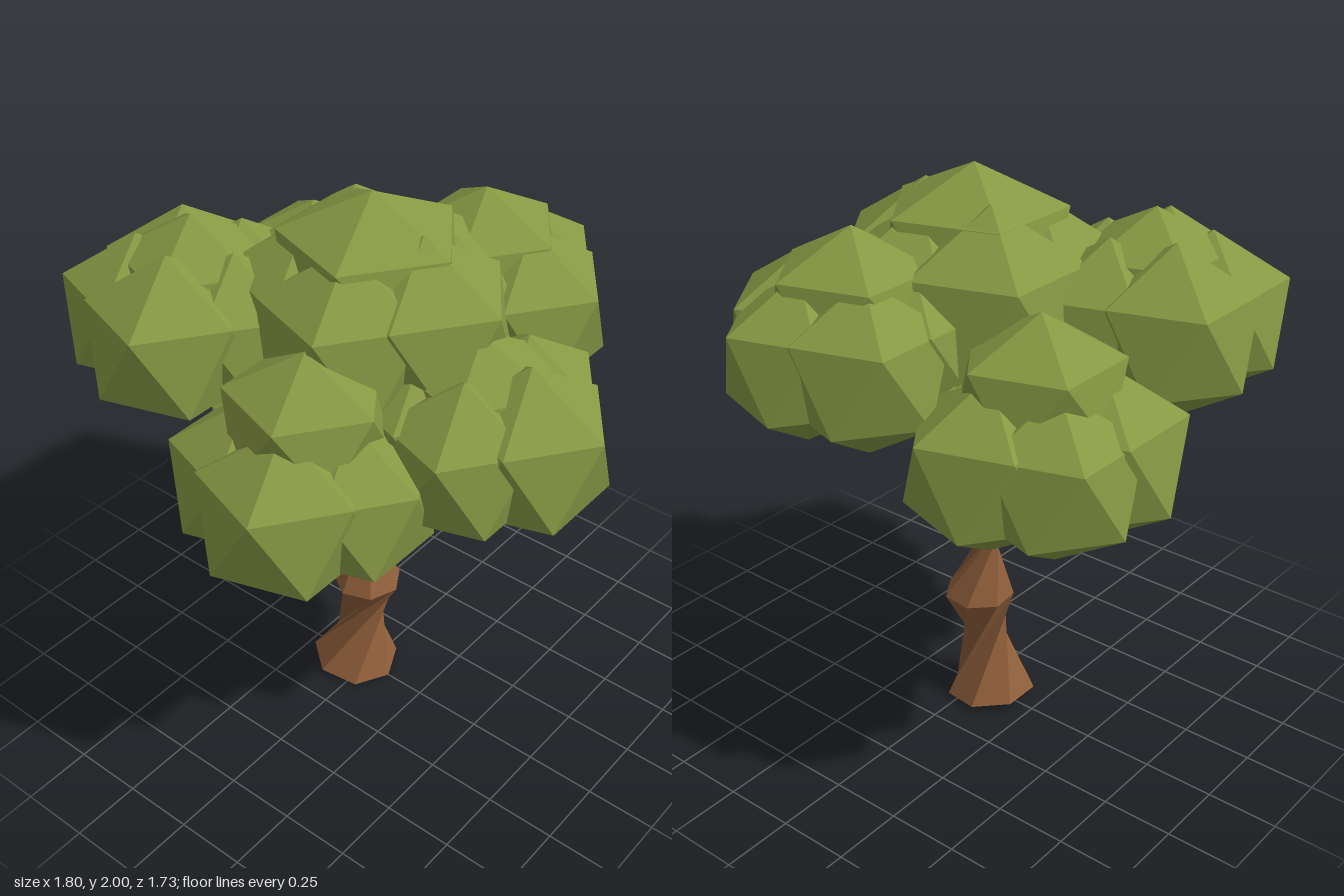
import * as THREE from 'three';
import { mergeGeometries } from 'three/addons/utils/BufferGeometryUtils.js';

const leaf = new THREE.MeshStandardMaterial({ color: 0x879743, flatShading: true });
leaf.name = 'leaf green';
const bark = new THREE.MeshStandardMaterial({ color: 0x8d5d3a, flatShading: true });
bark.name = 'bark brown';

// Icosahedron standing on a corner, with one corner of its upper ring towards +x
function leafBall(x, y, z, r, flat = 1) {
  const g = new THREE.IcosahedronGeometry(r, 0);
  g.rotateZ(-Math.atan(2 / (1 + Math.sqrt(5))));
  g.scale(1, flat, 1);
  g.translate(x, y, z);
  return g;
}

// Clump: a ring of five slightly uneven balls, the largest at index lead, and a flatter one on top
const sizes = [1.04, 0.97, 1.02, 0.99, 0.965];
function clump(name, [x, y, z], lead, topY, topR = 0.29, topFlat = 0.85, s = 1) {
  const parts = [leafBall(x, topY - topR * topFlat, z, topR, topFlat)];
  for (let i = 0; i < 5; i++) {
    const a = ((i + lead) * Math.PI * 2) / 5;
    parts.push(leafBall(x + 0.18 * s * Math.cos(a), y, z + 0.18 * s * Math.sin(a), 0.29 * s * sizes[i]));
  }
  const mesh = new THREE.Mesh(mergeGeometries(parts), leaf);
  mesh.name = name;
  return mesh;
}

// Twisted loft through rings of [x, y, z, radius, twist, tilt], capped at both ends
function loft(name, rings, sides) {
  const pos = [];
  const point = (i, j) => {
    const [x, y, z, r, twist = 0, tilt = 0] = rings[i];
    const a = twist + (j * Math.PI * 2) / sides;
    return [x + r * Math.cos(a), y + tilt * Math.cos(a), z + r * Math.sin(a)];
  };
  const last = rings.length - 1;
  for (let j = 0; j < sides; j++) {
    for (let i = 0; i < last; i++) {
      const a = point(i, j), b = point(i, j + 1), c = point(i + 1, j), d = point(i + 1, j + 1);
      pos.push(...a, ...c, ...b, ...b, ...c, ...d);
    }
    pos.push(...rings[0].slice(0, 3), ...point(0, j), ...point(0, j + 1));
    pos.push(...rings[last].slice(0, 3), ...point(last, j + 1), ...point(last, j));
  }
  const g = new THREE.BufferGeometry();
  g.setAttribute('position', new THREE.Float32BufferAttribute(pos, 3));
  g.computeVertexNormals();
  const mesh = new THREE.Mesh(g, bark);
  mesh.name = name;
  return mesh;
}

export function createModel() {
  const tree = new THREE.Group();
  tree.name = 'tree';

  // Trunk, wrung like a cloth and pinched below the fork
  tree.add(loft('trunk', [
    [-0.06, 0.02, 0, 0.16, 0, -0.02],
    [-0.015, 0.42, -0.015, 0.125, -1.9],
    [-0.055, 0.7, -0.01, 0.045, -3.6],
  ], 7));

  // Fork, widening upwards
  tree.add(loft('fork', [
    [-0.06, 0.7, 0, 0.065],
    [-0.06, 0.85, 0, 0.105],
    [-0.06, 1.02, 0, 0.14],
  ], 7));

  // Branches fanning out to the clumps
  const tips = [
    [0.04, 1.5, -0.34], [0.16, 1.12, 0], [0.02, 1.12, 0.24],
    [-0.2, 1.18, 0.12], [-0.28, 1.14, -0.2],
  ];
  for (const [x, y, z] of tips) {
    tree.add(loft('branch', [
      [-0.06, 0.7, 0, 0.045],
      [-0.06 + (x + 0.06) * 0.4, 0.96, z * 0.4, 0.07, 0.3],
      [x, y, z, 0.04, 0.6],
    ], 5));
  }

  // Broken stub on the side of the fork
  tree.add(loft('stub', [
    [-0.1, 0.72, 0.02, 0.03],
    [-0.15, 0.81, 0.03, 0.045, 0.5],
    [-0.13, 0.86, 0.02, 0.03, 0.9],
  ], 5));

  // Foliage
  tree.add(clump('crownFoliage', [0, 1.585, -0.02], 3, 2.0, 0.34, 0.74, 1.12));
  tree.add(clump('backFoliage', [0.125, 1.485, -0.455], 0, 1.88));
  tree.add(clump('frontFoliage', [0.12, 1.235, 0.44], 1, 1.7));
  tree.add(clump('leftFoliage', [0.45, 1.33, 0], 0, 1.68));
  tree.add(clump('frontRightFoliage', [-0.49, 1.525, 0.28], 1, 1.88));
  tree.add(clump('backRightFoliage', [-0.475, 1.245, -0.29], 2, 1.7));

  return tree;
}
